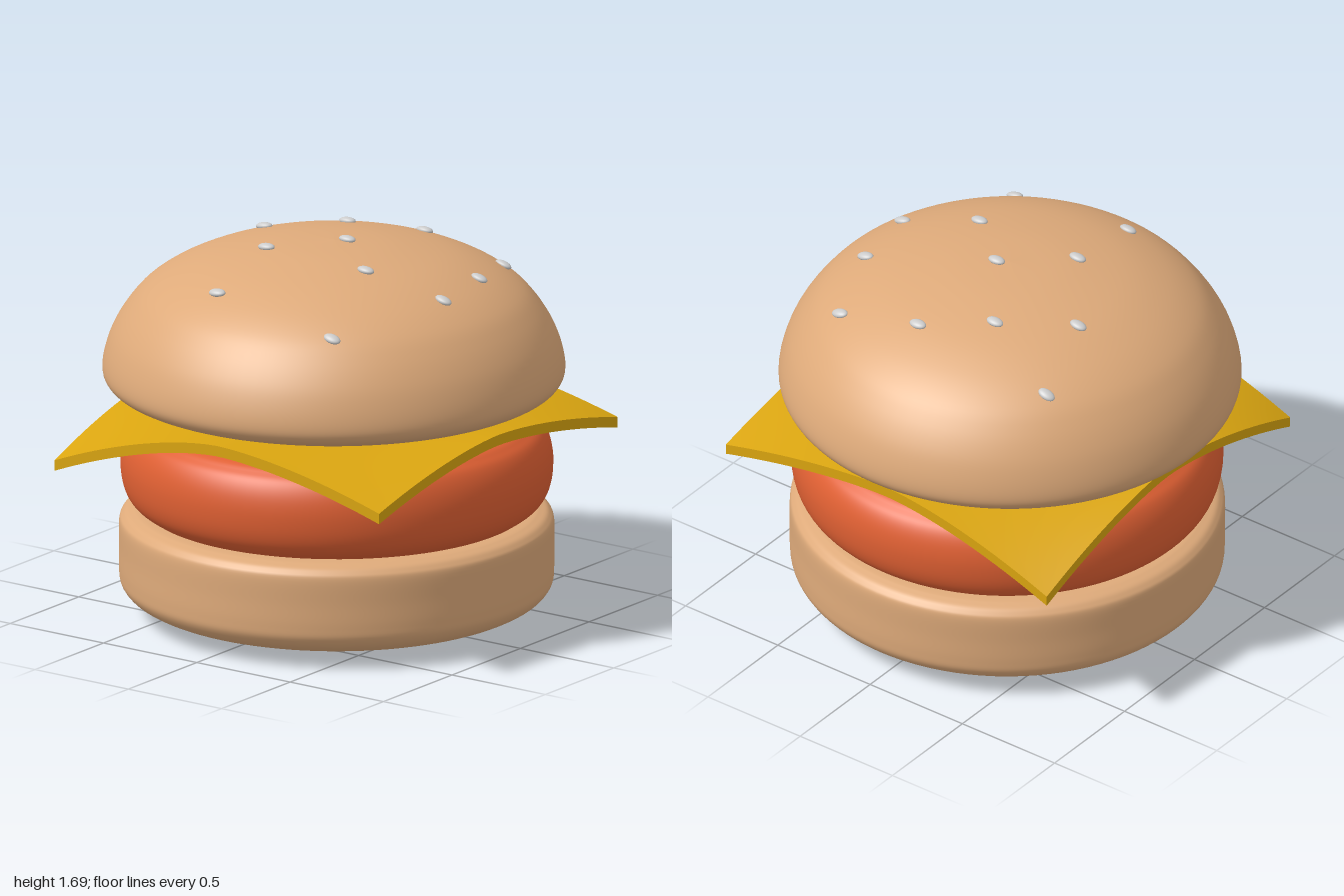
import * as THREE from 'three';

const bunMat = new THREE.MeshStandardMaterial({ color: 0xdeaa7a });
const pattyMat = new THREE.MeshStandardMaterial({ color: 0xe06033 });
const cheeseMat = new THREE.MeshStandardMaterial({ color: 0xdaa510 });
const seedMat = new THREE.MeshStandardMaterial({ color: 0xcccccc });

// Smooth profile [radius, height], listed from bottom centre to top centre
function smoothProfile(points) {
  const curve = new THREE.SplineCurve(points.map(([r, y]) => new THREE.Vector2(r, y)));
  const profile = curve.getPoints(72);
  profile.forEach((p) => { p.x = Math.max(p.x, 0); });
  return profile;
}

function addLayer(group, name, profile, material, x, z) {
  const mesh = new THREE.Mesh(new THREE.LatheGeometry(profile, 96), material);
  mesh.name = name;
  mesh.position.set(x, 0, z);
  group.add(mesh);
}

// Square slice whose four corners droop by different amounts
function cheeseGeometry(half, thickness) {
  const geo = new THREE.BoxGeometry(half * 2, thickness, half * 2, 32, 1, 32);
  const pos = geo.attributes.position;
  for (let i = 0; i < pos.count; i++) {
    const u = pos.getX(i) / half;
    const v = pos.getZ(i) / half;
    const corner = v > 0 ? (u > 0 ? 0.105 : 0.125) : (u > 0 ? 0.185 : 0.19);
    const drop = 0.022 * u * u + 0.028 * v * v + corner * Math.abs(u * v) ** 1.6;
    pos.setY(i, pos.getY(i) - drop);
  }
  geo.computeVertexNormals();
  return geo;
}

export function createModel() {
  const group = new THREE.Group();
  group.name = 'burger';

  // Bottom bun
  addLayer(group, 'bottomBun', smoothProfile([
    [0, 0.003], [0.3, 0.008], [0.55, 0.022], [0.77, 0.05], [0.88, 0.09], [0.93, 0.14],
    [0.94, 0.2], [0.94, 0.3], [0.94, 0.41], [0.925, 0.445], [0.89, 0.467],
    [0.8, 0.478], [0.4, 0.48], [0, 0.48],
  ]), bunMat, -0.007, 0.02);

  // Patty
  addLayer(group, 'patty', smoothProfile([
    [0, 0.47], [0.4, 0.47], [0.78, 0.476], [0.85, 0.492], [0.9, 0.535], [0.927, 0.6],
    [0.935, 0.685], [0.925, 0.76], [0.9, 0.82], [0.865, 0.855], [0.8, 0.885],
    [0.6, 0.912], [0.3, 0.922], [0, 0.925],
  ]), pattyMat, -0.005, 0.02);

  // Cheese slice
  const cheese = new THREE.Mesh(cheeseGeometry(0.87, 0.047), cheeseMat);
  cheese.name = 'cheeseSlice';
  cheese.position.set(-0.005, 0.95, 0.015);
  group.add(cheese);

  // Top bun
  const dome = smoothProfile([
    [0, 0.96], [0.4, 0.962], [0.7, 0.972], [0.86, 0.995], [0.95, 1.025], [0.99, 1.06],
    [1, 1.11], [0.985, 1.19], [0.95, 1.28], [0.89, 1.375], [0.81, 1.46], [0.68, 1.54],
    [0.5, 1.607], [0.25, 1.655], [0, 1.67],
  ]);
  addLayer(group, 'topBun', dome, bunMat, 0, 0);

  // Sesame seeds scattered on the dome, leaning with its slope
  const crown = dome.filter((p) => p.y > 1.15);
  const seedGeo = new THREE.SphereGeometry(1, 20, 14);
  const seeds = new THREE.Group();
  seeds.name = 'sesameSeeds';
  const spots = [
    [0.51, -0.585], [0.145, -0.48], [-0.64, -0.155], [-0.22, -0.2], [0.365, -0.195], [0.03, 0.05],
    [0.54, 0.09], [-0.21, 0.325], [-0.66, 0.475], [0.57, 0.49], [-0.12, 0.675], [0.21, 0.625],
  ];
  const up = new THREE.Vector3(0, 1, 0);
  for (const [x, z] of spots) {
    const r = Math.hypot(x, z);
    const i = Math.max(1, crown.findIndex((p) => p.x <= r));
    const a = crown[i - 1];
    const b = crown[i];
    const slope = (b.y - a.y) / (a.x - b.x);
    const seed = new THREE.Mesh(seedGeo, seedMat);
    seed.name = 'seed';
    seed.scale.set(0.025, 0.016, 0.041);
    seed.position.set(x, a.y + (a.x - r) * slope + 0.006, z);
    const lean = 0.6 * slope / r;
    seed.quaternion.setFromUnitVectors(up, new THREE.Vector3(x * lean, 1, z * lean).normalize());
    seeds.add(seed);
  }
  group.add(seeds);

  return group;
}
